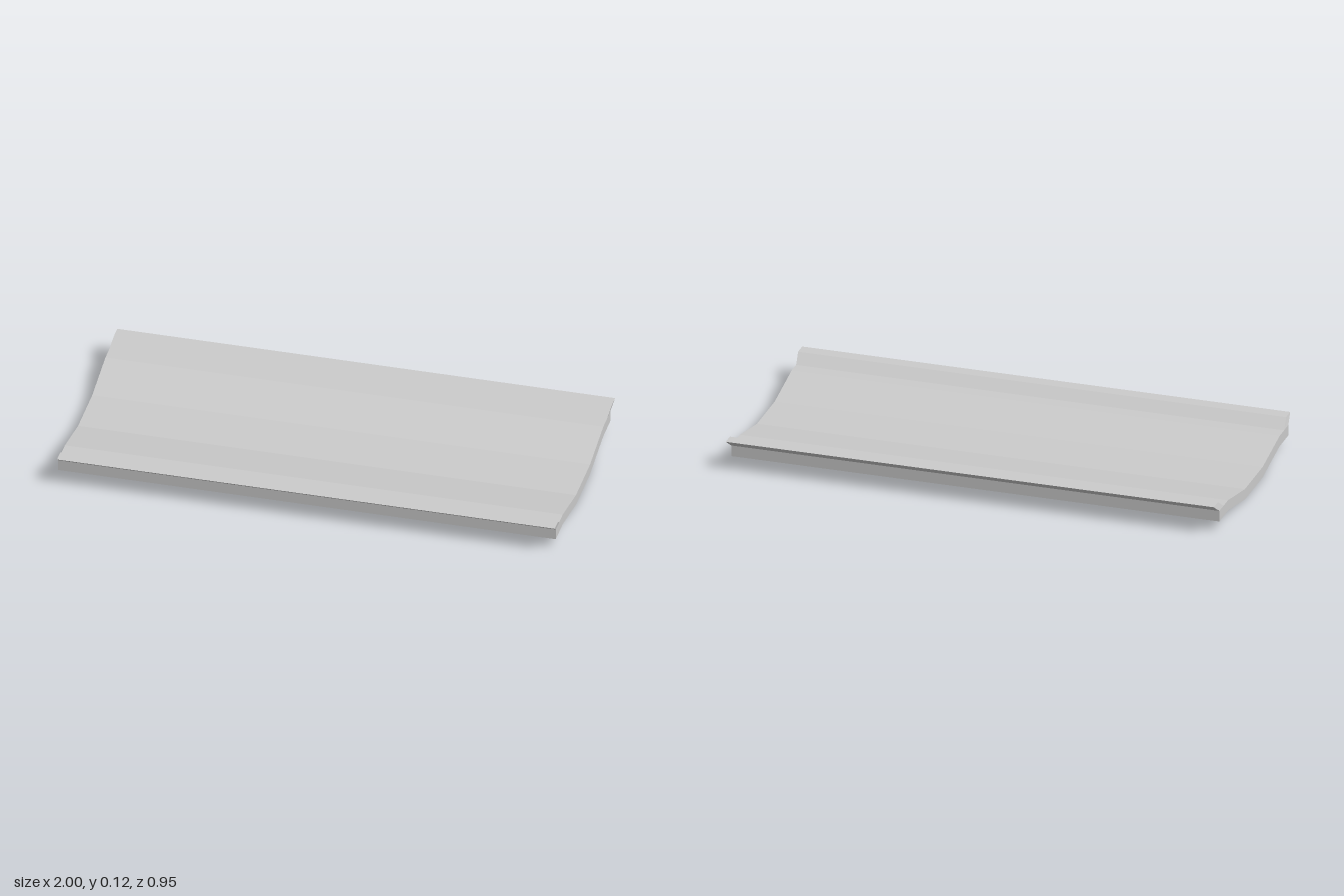
import * as THREE from 'three';

// Half of the cross-section as [z, y], from the underside out and over the lip to the trough floor
const HALF_PROFILE = [
  [0.112, 0.002], [0.215, 0.024], [0.32, 0.044], [0.43, 0.044], [0.43, 0.089],
  [0.476, 0.123], [0.424, 0.123], [0.377, 0.088], [0.32, 0.088], [0.215, 0.067], [0.112, 0.046],
];
const LIP_BASE = 0.088, LIP_TOP = 0.123;
const START = -1, LENGTH = 1.992, LIP_SHIFT = 0.008;

export function createModel() {
  const model = new THREE.Group();
  model.name = 'channelPanel';

  // Mirror the half profile into one closed outline
  const mirrored = HALF_PROFILE.map(([z, y]) => [-z, y]).reverse();
  const outline = [...HALF_PROFILE, ...mirrored].map(([z, y]) => new THREE.Vector2(z, y - 0.002));
  const geometry = new THREE.ExtrudeGeometry(new THREE.Shape(outline), {
    depth: LENGTH, bevelEnabled: false, steps: 1,
  });
  geometry.rotateY(Math.PI / 2).translate(START, 0, 0);

  // Skew the raised lips slightly along the length
  const position = geometry.attributes.position;
  for (let i = 0; i < position.count; i++) {
    const rise = Math.max(0, (position.getY(i) - LIP_BASE) / (LIP_TOP - LIP_BASE));
    position.setX(i, position.getX(i) + rise * LIP_SHIFT);
  }
  geometry.computeVertexNormals();

  const panel = new THREE.Mesh(
    geometry,
    new THREE.MeshStandardMaterial({ color: 0xcccccc, flatShading: true }),
  );
  panel.name = 'troughWithLips';
  model.add(panel);
  return model;
}
